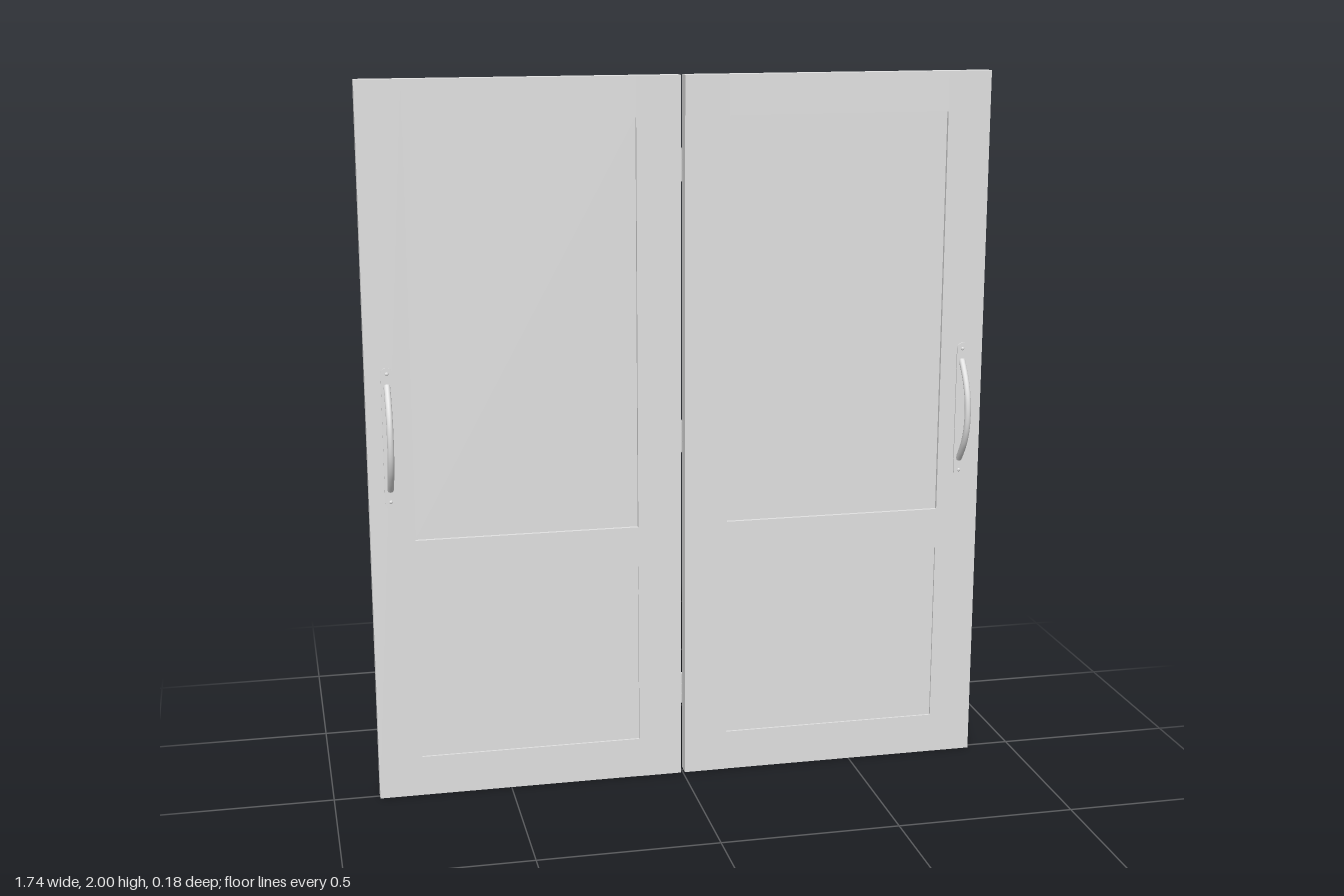
import * as THREE from 'three';

const grey = new THREE.MeshStandardMaterial({ color: 0xe2e2e2 });
grey.name = 'lightGrey';

function add(parent, name, geometry, x = 0, y = 0, z = 0) {
  const mesh = new THREE.Mesh(geometry, grey);
  mesh.name = name;
  mesh.position.set(x, y, z);
  parent.add(mesh);
}

// Flat plate with rounded ends, extruded towards +z
function roundedPlate(width, height, depth) {
  const r = width / 2, h = height / 2 - r;
  const s = new THREE.Shape();
  s.absarc(0, h, r, 0, Math.PI);
  s.absarc(0, -h, r, Math.PI, Math.PI * 2);
  return new THREE.ExtrudeGeometry(s, { depth, bevelEnabled: false, curveSegments: 10 });
}

function screw(parent, x, y, z) {
  const dome = new THREE.SphereGeometry(0.005, 10, 6, 0, Math.PI * 2, 0, Math.PI / 2);
  add(parent, 'screwHead', dome.scale(1, 0.5, 1).rotateX(Math.PI / 2), x, y, z);
}

// Bowed pull handle on a long thin backplate; its base lies on z = 0
function makeHandle() {
  const handle = new THREE.Group();
  const path = new THREE.CatmullRomCurve3([
    [-0.145, 0], [-0.118, 0.021], [-0.085, 0.042], [-0.045, 0.057], [0, 0.062],
    [0.045, 0.057], [0.085, 0.042], [0.118, 0.021], [0.145, 0],
  ].map(([y, z]) => new THREE.Vector3(0, y, z)));
  add(handle, 'handleBow', new THREE.TubeGeometry(path, 40, 0.009, 12));
  add(handle, 'handleBackplate', roundedPlate(0.032, 0.39, 0.004));
  for (const y of [-0.178, 0.178]) screw(handle, 0, y, 0.004);
  return handle;
}

// Hinge with three knuckles, a pin and two tapered leaves; leaves lie on z = 0
function makeHinge() {
  const hinge = new THREE.Group();
  for (const y of [-0.03, 0, 0.03]) {
    add(hinge, 'hingeKnuckle', new THREE.CylinderGeometry(0.008, 0.008, 0.028, 16), 0, y, 0.004);
  }
  add(hinge, 'hingePin', new THREE.CylinderGeometry(0.006, 0.006, 0.092, 12), 0, 0, 0.004);
  for (const s of [-1, 1]) {
    const leaf = new THREE.Shape([[0, -0.032], [0.057, -0.018], [0.057, 0.018], [0, 0.032]]
      .map(([x, y]) => new THREE.Vector2(s * x, y)));
    add(hinge, 'hingeLeaf', new THREE.ExtrudeGeometry(leaf, { depth: 0.003, bevelEnabled: false }));
    for (const y of [-0.012, 0.012]) screw(hinge, s * 0.045, y, 0.003);
    screw(hinge, s * 0.022, 0, 0.003);
  }
  return hinge;
}

export function createModel() {
  const model = new THREE.Group();
  model.name = 'doubleDoor';
  const T = 0.036, face = T / 2;

  for (const side of [-1, 1]) {
    const door = new THREE.Group();
    door.name = side > 0 ? 'leftDoor' : 'rightDoor';
    model.add(door);
    // Box between distances a and b from the middle of the doorway
    const slab = (name, a, b, y0, y1, depth) =>
      add(door, name, new THREE.BoxGeometry(b - a, y1 - y0, depth), side * (a + b) / 2, (y0 + y1) / 2, 0);

    // Frame; the inner stile stands slightly proud
    slab('innerStile', 0.006, 0.128, 0, 2, T + 0.002);
    slab('outerStile', 0.75, 0.872, 0, 2, T);
    slab('bottomRail', 0.128, 0.75, 0, 0.115, T);
    slab('middleRail', 0.128, 0.75, 0.635, 0.75, T);
    slab('topRail', 0.128, 0.75, 1.89, 2, T);

    // Recessed panels, the upper one deeper
    slab('upperPanel', 0.128, 0.75, 0.75, 1.89, T - 0.02);
    slab('lowerPanel', 0.128, 0.75, 0.115, 0.635, T - 0.012);

    // Handles on both faces
    for (const z of [-1, 1]) {
      const handle = makeHandle();
      handle.name = z > 0 ? 'frontHandle' : 'backHandle';
      handle.position.set(side * 0.813, 1.043, z * face);
      if (z < 0) handle.rotation.y = Math.PI;
      door.add(handle);
    }
  }

  // Hinges joining the two doors at the back
  for (const y of [0.247, 0.997, 1.757]) {
    const hinge = makeHinge();
    hinge.name = 'hinge';
    hinge.position.set(0, y, -face - 0.001);
    hinge.rotation.y = Math.PI;
    model.add(hinge);
  }
  return model;
}
